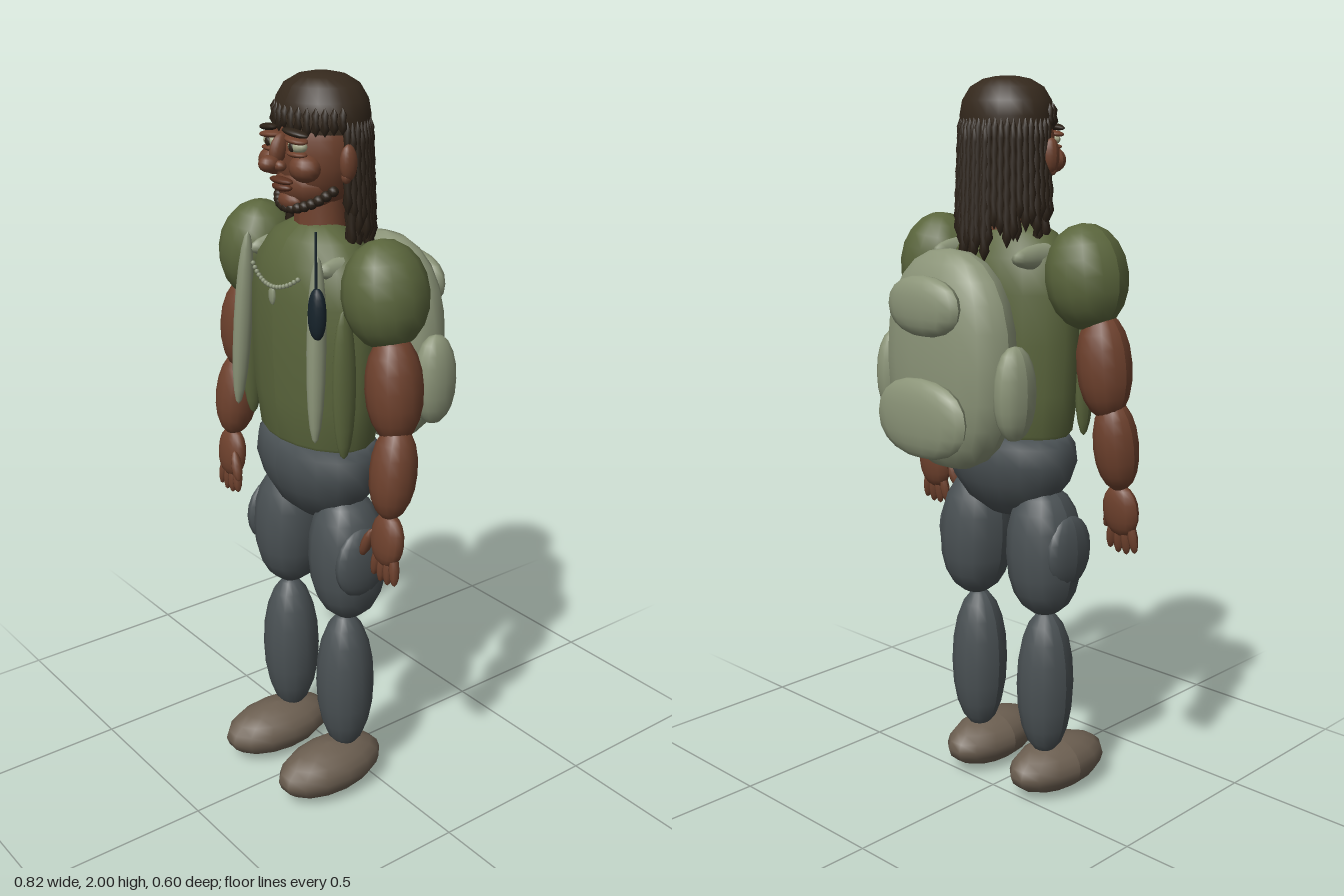
import * as THREE from 'three';

const mat = (name, color) => {
  const m = new THREE.MeshStandardMaterial({ color });
  m.name = name;
  return m;
};

export function createModel() {
  const model = new THREE.Group();
  model.name = 'backpacker';

  const skin = mat('skin', 0x6e412d);
  const shirt = mat('olive shirt', 0x5a653c);
  const trousers = mat('slate trousers', 0x4a5154);
  const boots = mat('brown boots', 0x6c5f51);
  const canvas = mat('sage canvas', 0x8b9478);
  const hair = mat('hair', 0x35291d);
  const locks = mat('dark locks', 0x2b2117);
  const black = mat('radio black', 0x17242c);
  const eyeWhite = mat('eye', 0xa3a586);
  const lip = mat('lip', 0x59301f);

  const add = (name, geo, material, pos = [0, 0, 0], rot = [0, 0, 0], parent = model) => {
    const mesh = new THREE.Mesh(geo, material);
    mesh.name = name;
    mesh.position.set(...pos);
    mesh.rotation.set(...rot);
    parent.add(mesh);
    return mesh;
  };

  // Ellipsoid; power below 1 makes its outline fuller and squarer
  const ball = (name, material, pos, [rx, ry, rz], rot = [0, 0, 0], power = 1, w = 14, h = 10) => {
    const geo = new THREE.SphereGeometry(1, w, h);
    const p = geo.attributes.position;
    const f = v => Math.abs(v) < 1e-6 ? 0 : Math.sign(v) * Math.abs(v) ** power;
    for (let i = 0; i < p.count; i++) p.setXYZ(i, f(p.getX(i)) * rx, f(p.getY(i)) * ry, f(p.getZ(i)) * rz);
    geo.computeVertexNormals();
    return add(name, geo, material, pos, rot);
  };

  // The same ellipsoid on both sides, given for the left (+x)
  const pair = (name, material, [x, y, z], size, [a, b, c] = [0, 0, 0], ...rest) => {
    for (const s of [1, -1])
      ball((s > 0 ? 'left ' : 'right ') + name, material, [s * x, y, z], size, [a, s * b, s * c], ...rest);
  };

  // Revolved profile of [radius, y], flattened front to back
  const turned = (name, material, profile, z, depth, sides = 18) => {
    const geo = new THREE.LatheGeometry(profile.map(q => new THREE.Vector2(...q)), sides);
    geo.scale(1, 1, depth);
    geo.computeVertexNormals();
    return add(name, geo, material, [0, 0, z]);
  };

  // Torso, hips and neck
  turned('torso', shirt, [[0, 1.04], [0.17, 1.045], [0.195, 1.07], [0.212, 1.18], [0.22, 1.32],
    [0.218, 1.45], [0.195, 1.54], [0.14, 1.6], [0.07, 1.635], [0, 1.64]], 0.073, 0.64);
  turned('hips', trousers, [[0, 0.815], [0.07, 0.825], [0.14, 0.865], [0.19, 0.925], [0.212, 0.985],
    [0.205, 1.035], [0.185, 1.06], [0, 1.065]], 0.07, 0.67);
  turned('neck', skin, [[0.08, 1.57], [0.072, 1.63], [0.072, 1.74]], 0.06, 0.9, 14);
  pair('shirt side fold', shirt, [0.205, 1.26, 0.14], [0.022, 0.2, 0.035]);

  // Legs
  pair('thigh', trousers, [0.13, 0.735, 0.07], [0.1, 0.185, 0.105], [0, 0, 0.04], 0.88);
  pair('thigh pocket', trousers, [0.207, 0.745, 0.082], [0.034, 0.1, 0.085]);
  pair('shin', trousers, [0.13, 0.34, 0.078], [0.08, 0.215, 0.08], [0, 0, 0], 0.95);
  pair('boot', boots, [0.13, 0.077, 0.132], [0.094, 0.075, 0.172], [0, 0.03, 0]);

  // Arms
  pair('sleeve', shirt, [0.272, 1.5, 0.065], [0.107, 0.137, 0.11], [0, 0, 0.15], 0.97);
  pair('upper arm', skin, [0.325, 1.275, 0.077], [0.072, 0.14, 0.073], [-0.02, 0, 0.1], 0.95);
  pair('forearm', skin, [0.352, 1.065, 0.098], [0.06, 0.125, 0.06], [-0.13, 0, 0.04], 0.95);
  pair('palm', skin, [0.357, 0.885, 0.118], [0.055, 0.072, 0.03], [-0.1, 0, 0], 0.92);
  for (let i = 0; i < 4; i++)
    pair('finger', skin, [0.322 + i * 0.024, 0.815 - (i % 3 ? 0.008 : 0), 0.125],
      [0.0125, 0.045, 0.015], [-0.08, 0, (i - 1.5) * 0.09], 1, 8, 6);
  pair('thumb', skin, [0.302, 0.862, 0.14], [0.014, 0.045, 0.017], [-0.1, 0, -0.35], 1, 8, 6);

  // Backpack with pockets and front straps
  ball('backpack', canvas, [0, 1.28, -0.157], [0.21, 0.29, 0.103], [0, 0, 0], 0.85, 18, 12);
  ball('upper pack pocket', canvas, [0, 1.43, -0.252], [0.125, 0.078, 0.04], [0, 0, 0], 0.9);
  ball('lower pack pocket', canvas, [0, 1.14, -0.265], [0.16, 0.105, 0.04], [0, 0, 0], 0.9);
  pair('side pack pocket', canvas, [0.22, 1.218, -0.148], [0.045, 0.123, 0.063], [0, 0, 0], 0.93);
  pair('shoulder strap', canvas, [0.163, 1.35, 0.195], [0.022, 0.24, 0.026], [-0.06, 0, 0.05], 0.95);
  pair('strap over shoulder', canvas, [0.145, 1.545, 0.05], [0.025, 0.035, 0.13], [0, 0, 0]);

  // Radio clipped to the left strap
  ball('radio', black, [0.185, 1.455, 0.208], [0.026, 0.066, 0.02], [0, 0, 0], 0.9);
  add('radio antenna', new THREE.CylinderGeometry(0.003, 0.004, 0.16, 8), black, [0.184, 1.58, 0.21]);

  // Bead necklace
  for (let i = 0; i <= 16; i++) {
    const t = i / 8 - 1;
    ball('necklace bead', canvas, [t * 0.098, 1.485 + 0.036 * t * t, 0.214 - 0.012 * t * t],
      [0.0065, 0.0065, 0.0065], [0, 0, 0], 1, 6, 5);
  }
  ball('pendant', canvas, [0, 1.46, 0.212], [0.014, 0.025, 0.007], [0, 0, 0], 1, 8, 6);

  // Head and face
  ball('head', skin, [0, 1.815, 0.067], [0.121, 0.148, 0.108], [0, 0, 0], 0.95, 20, 14);
  ball('jaw', skin, [0, 1.735, 0.09], [0.092, 0.068, 0.085]);
  pair('cheek', skin, [0.065, 1.785, 0.153], [0.044, 0.035, 0.038]);
  pair('ear', skin, [0.137, 1.8, 0.075], [0.018, 0.045, 0.024]);
  pair('ear lobe', skin, [0.135, 1.765, 0.08], [0.012, 0.016, 0.014], [0, 0, 0], 1, 8, 6);
  ball('nose bridge', skin, [0, 1.825, 0.185], [0.016, 0.04, 0.025], [-0.35, 0, 0]);
  ball('nose tip', skin, [0, 1.793, 0.214], [0.024, 0.021, 0.028]);
  pair('nostril', skin, [0.022, 1.789, 0.196], [0.015, 0.014, 0.017], [0, 0, 0], 1, 8, 6);
  pair('eyeball', eyeWhite, [0.052, 1.838, 0.165], [0.031, 0.017, 0.02]);
  pair('iris', locks, [0.05, 1.837, 0.182], [0.01, 0.012, 0.006], [0, 0, 0], 1, 10, 6);
  pair('upper eyelid', skin, [0.053, 1.853, 0.17], [0.038, 0.009, 0.024], [0, 0, -0.08]);
  pair('lower eyelid', skin, [0.053, 1.819, 0.168], [0.034, 0.008, 0.02]);
  pair('eyebrow', locks, [0.056, 1.871, 0.175], [0.042, 0.009, 0.017], [0, 0.2, -0.12]);
  ball('upper lip', lip, [0, 1.748, 0.178], [0.044, 0.009, 0.018]);
  ball('lower lip', lip, [0, 1.732, 0.176], [0.036, 0.011, 0.019]);
  ball('chin', skin, [0, 1.695, 0.152], [0.04, 0.025, 0.025]);

  // Beard along the jaw
  for (let i = 0; i <= 14; i++) {
    const a = (i / 14 - 0.5) * 2.5;
    ball('beard tuft', locks, [Math.sin(a) * 0.105, 1.678 + 0.07 * (1 - Math.cos(a)), 0.062 + Math.cos(a) * 0.1],
      [0.014, 0.014, 0.015], [0, 0, 0], 1, 8, 6);
  }

  // Hair cap, cut off level above the brow
  turned('hair cap', hair, [[0.127, 1.865], [0.131, 1.9], [0.124, 1.938], [0.102, 1.972],
    [0.066, 1.992], [0.03, 1.999], [0, 2]], 0.052, 0.89, 24).material.side = THREE.DoubleSide;

  // Hanging locks: knobbly strands around the head, short at the front
  let seed = 7;
  const random = () => (seed = (seed * 16807) % 2147483647) / 2147483647;
  const strand = (angle, length, radius, top, inset) => {
    const points = [];
    const n = Math.max(4, Math.round(length / 0.028));
    for (let i = 0; i <= n; i++) {
      const taper = i === 0 || i === n ? 0.05 : (i % 2 ? 1.12 : 0.78) * (1 - 0.25 * i / n);
      points.push(new THREE.Vector2(radius * taper, -length * (1 - i / n)));
    }
    add('lock of hair', new THREE.LatheGeometry(points, 7), locks,
      [Math.sin(angle) * (0.127 - inset), top, 0.052 + Math.cos(angle) * (0.113 - inset)],
      [Math.cos(angle) * -0.03, 0, Math.sin(angle) * 0.03]);
  };
  for (let i = 0; i < 28; i++) {
    const angle = 1.4 + (i / 27) * (2 * Math.PI - 2.8);
    const back = Math.max(0, -Math.cos(angle));
    strand(angle, 0.23 + 0.05 * back + 0.07 * random(), 0.0125, 1.9, 0);
    strand(angle + 0.1, 0.17 + 0.1 * random(), 0.012, 1.84, 0.012);
  }
  for (const s of [1, -1]) {
    strand(s * 1.5, 0.31, 0.013, 1.89, 0.004);
    strand(s * 1.7, 0.33, 0.013, 1.9, 0.01);
  }
  for (const a of [2.85, 3.14, 3.4]) strand(a, 0.36, 0.013, 1.89, -0.004);
  for (let i = 0; i < 15; i++) strand(-1.3 + i * 2.6 / 14, 0.05 + 0.03 * random(), 0.0115, 1.93, 0);

  return model;
}
